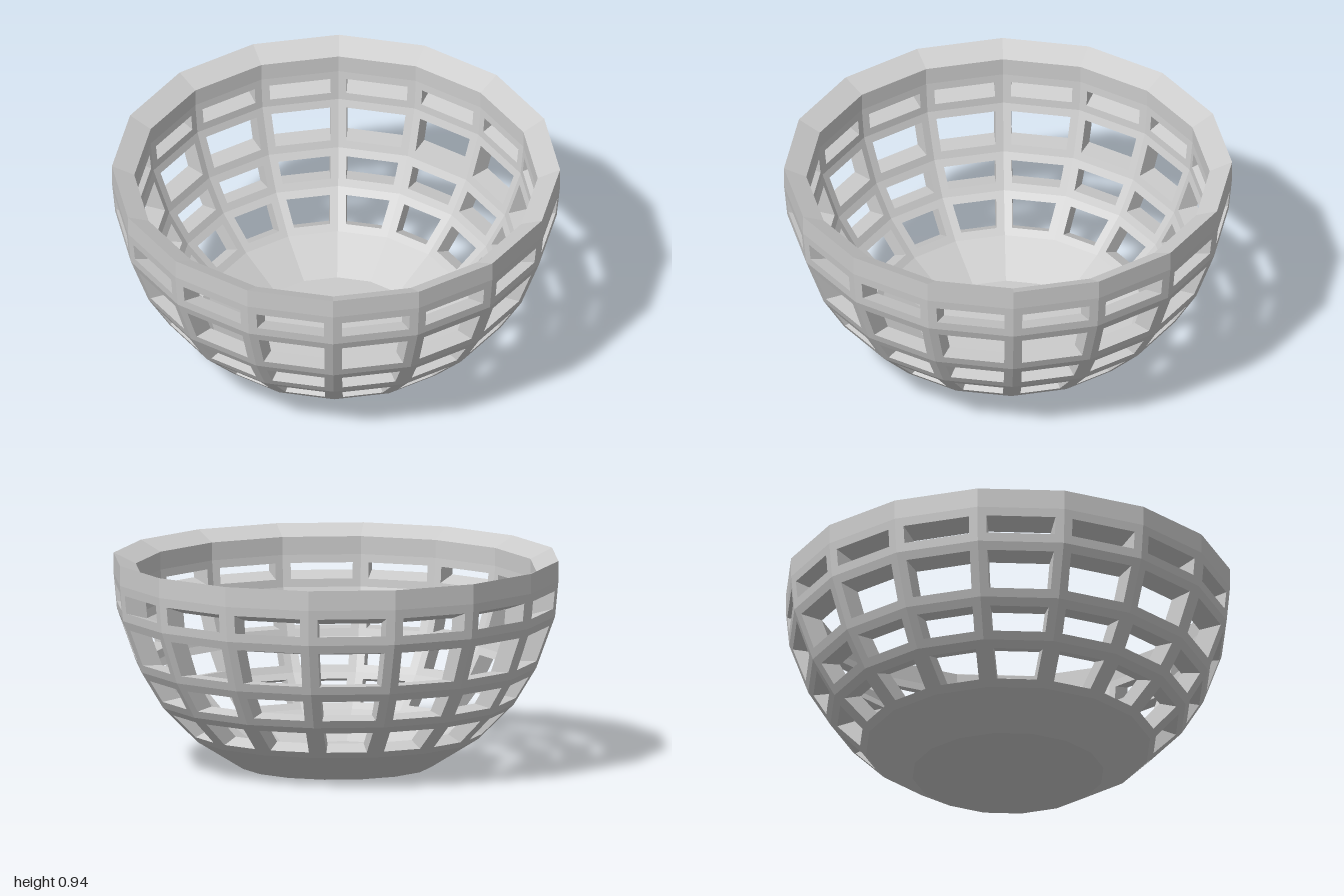
import * as THREE from 'three';

const SIDES = 16;
const BAR = 0.04; // half width of each lattice bar
const HEIGHT = 0.94;
const INNER_SCALE = 0.9; // inner shell is the outer one shrunk about its middle

// Outer wall profile from floor to lip, as [radius, height]
const PROFILE = [[0.43, 0], [0.64, 0.13], [0.8, 0.29], [0.9, 0.455], [0.985, 0.69], [1, 0.85], [1, HEIGHT]];

const material = new THREE.MeshStandardMaterial({ color: 0xcccccc, flatShading: true });

function outerPoint(row, i) {
  const [r, y] = PROFILE[row];
  const a = (i % SIDES) * Math.PI * 2 / SIDES;
  return new THREE.Vector3(r * Math.sin(a), y, r * Math.cos(a));
}

function toInner(p) {
  const middle = new THREE.Vector3(0, HEIGHT / 2, 0);
  return p.clone().sub(middle).multiplyScalar(INNER_SCALE).add(middle);
}

// Four corners of one wall facet, anticlockwise seen from outside
function facet(row, i) {
  return [outerPoint(row, i), outerPoint(row, i + 1), outerPoint(row + 1, i + 1), outerPoint(row + 1, i)];
}

// Shrinks a facet by an equal distance from every edge
function inset(corners, d) {
  return corners.map((c, k) => {
    const u = corners[(k + 1) % 4].clone().sub(c).normalize();
    const v = corners[(k + 3) % 4].clone().sub(c).normalize();
    const sin = u.clone().cross(v).length();
    return c.clone().addScaledVector(u.add(v), d / sin);
  });
}

// Collects flat faces from every side into one mesh
function buildMesh(name, fill) {
  const points = [];
  const tri = (a, b, c) => points.push(a, b, c);
  const quad = (a, b, c, d) => { tri(a, b, c); tri(a, c, d); };
  for (let i = 0; i < SIDES; i++) fill(i, tri, quad);
  const geometry = new THREE.BufferGeometry().setFromPoints(points);
  geometry.computeVertexNormals();
  const mesh = new THREE.Mesh(geometry, material);
  mesh.name = name;
  return mesh;
}

function solidWall(row, i, quad) {
  const outer = facet(row, i);
  quad(...outer);
  quad(...outer.map(toInner).reverse());
}

// Facet with a four-sided opening through the wall
function windowWall(row, i, quad) {
  const outer = facet(row, i), outerHole = inset(outer, BAR);
  const inner = outer.map(toInner), innerHole = outerHole.map(toInner);
  for (let k = 0; k < 4; k++) {
    const n = (k + 1) % 4;
    quad(outer[k], outer[n], outerHole[n], outerHole[k]);
    quad(inner[n], inner[k], innerHole[k], innerHole[n]);
    quad(outerHole[k], outerHole[n], innerHole[n], innerHole[k]);
  }
}

export function createModel() {
  const bowl = new THREE.Group();
  bowl.name = 'latticeBowl';

  // Closed base: underside, inside floor and lowest solid wall
  bowl.add(buildMesh('base', (i, tri, quad) => {
    const centre = new THREE.Vector3(), a = outerPoint(0, i), b = outerPoint(0, i + 1);
    tri(centre, b, a);
    tri(toInner(centre), toInner(a), toInner(b));
    solidWall(0, i, quad);
  }));

  // Four rows of openings
  for (let row = 1; row <= 4; row++) {
    bowl.add(buildMesh(`latticeRow${row}`, (i, tri, quad) => windowWall(row, i, quad)));
  }

  // Solid rim whose lip slopes down towards the inside
  bowl.add(buildMesh('rim', (i, tri, quad) => {
    const a = outerPoint(6, i), b = outerPoint(6, i + 1);
    solidWall(5, i, quad);
    quad(a, b, toInner(b), toInner(a));
  }));

  return bowl;
}
